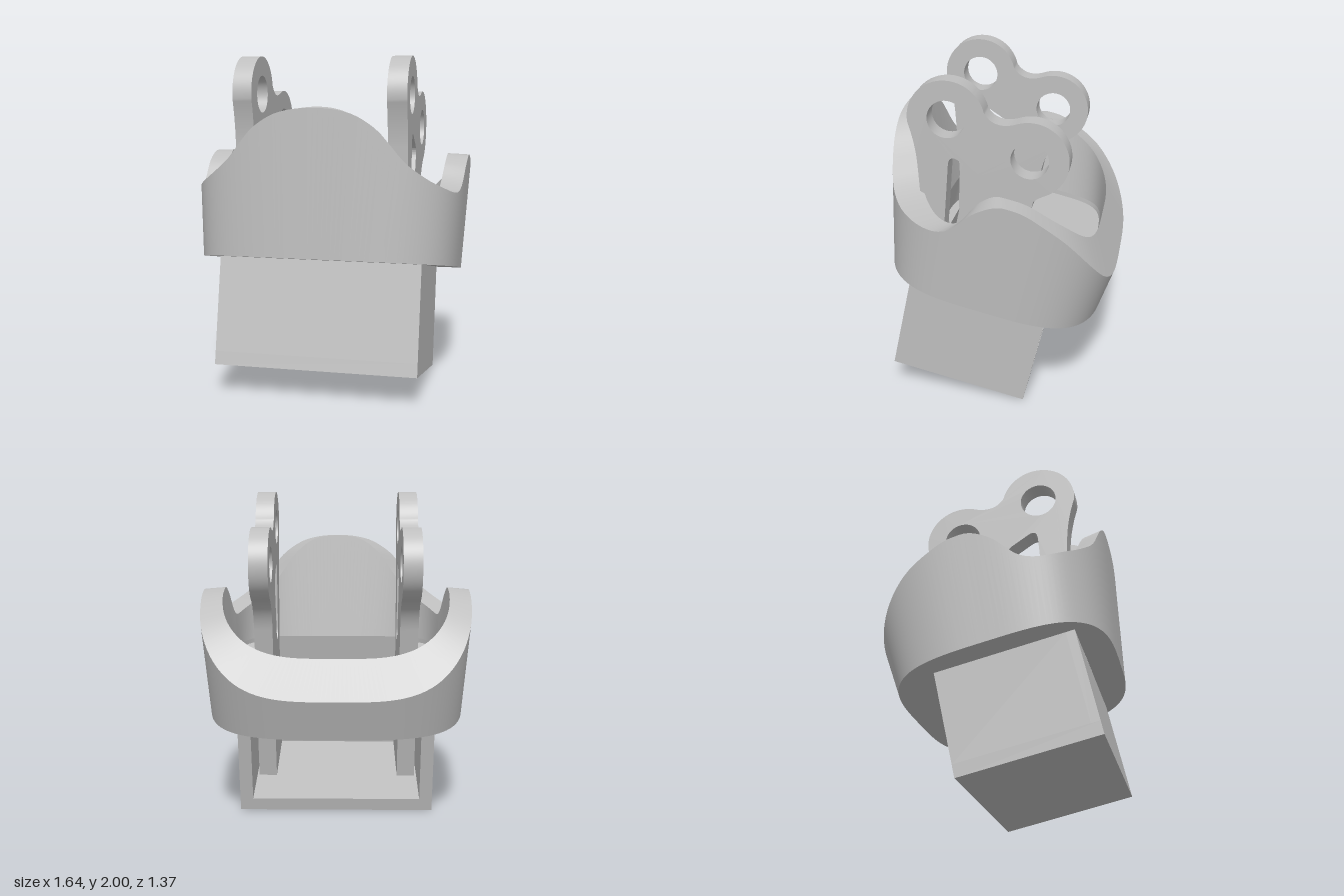
import * as THREE from 'three';
import { toCreasedNormals } from 'three/addons/utils/BufferGeometryUtils.js';

const deg = Math.PI / 180, N = 160;

// Front half of the rim: [angle from the front, outer height, inner height]
const FRONT_RIM = [
  [0, 1.527, 1.555], [15, 1.5, 1.53], [25, 1.42, 1.455], [31, 1.33, 1.375], [36, 1.25, 1.3],
  [42, 1.188, 1.23], [50, 1.137, 1.165], [63, 1.11, 1.12], [71, 1.153, 1.155], [80, 1.307, 1.307],
  [91, 1.387, 1.387],
];
// Back half of the rim: [distance backwards, height]
const BACK_RIM = [
  [-0.2, 1.387], [-0.1, 1.38], [0.01, 1.343], [0.182, 1.259], [0.346, 1.12], [0.492, 0.943], [0.56, 0.85],
];

// Smooth curve through column k of a table
function curve(table, v, k) {
  const last = table.length - 1;
  let i = 0;
  while (i < last - 1 && v > table[i + 1][0]) i++;
  const p = table[i], q = table[i + 1];
  const slope = (j) => (j === 0 || j === last) ? 0
    : (table[j + 1][k] - table[j - 1][k]) / (table[j + 1][0] - table[j - 1][0]);
  const d = q[0] - p[0], t = THREE.MathUtils.clamp((v - p[0]) / d, 0, 1), t2 = t * t, t3 = t2 * t;
  return (2 * t3 - 3 * t2 + 1) * p[k] + (t3 - 2 * t2 + t) * d * slope(i)
    + (3 * t2 - 2 * t3) * q[k] + (t3 - t2) * d * slope(i + 1);
}

// Rounded-rectangle section, given half width, front, back and corner power
function section(phi, w, front, back, n) {
  const mid = (front + back) / 2, b = (front - back) / 2;
  const s = Math.sin(phi), c = Math.cos(phi);
  const r = (Math.abs(s / w) ** n + Math.abs(c / b) ** n) ** (-1 / n);
  return [r * s, mid + r * c];
}
function outerPoint(phi, y) {
  const h = y - 0.685;
  const [x, z] = section(phi, 0.782 + 0.055 * h, 0.855 + 0.18 * h, -0.462 - 0.12 * h, 3.5);
  return [x, y, z];
}
function innerPoint(phi, y) {
  const h = y - 0.9, power = 3.6 + 2.4 * Math.max(0, 1 - h / 0.25);
  const [x, z] = section(phi, 0.655 + 0.08 * h, 0.675 + 0.33 * h, -0.335 + 0.04 * h, power);
  return [x, y, z];
}
function rimPoint(phi, point, k) {
  const a = Math.min(phi, 2 * Math.PI - phi) / deg;
  if (a <= 91) return point(phi, curve(FRONT_RIM, a, k));
  let y = 1.2;
  for (let i = 0; i < 10; i++) y = curve(BACK_RIM, -point(phi, y)[2], 1);
  return point(phi, y);
}

// Closed strips between neighbouring loops; edges between strips stay sharp
function loopStrips(loops) {
  const pos = [], idx = [];
  for (let s = 0; s < loops.length - 1; s++) {
    const base = pos.length / 3;
    for (const loop of [loops[s], loops[s + 1]]) {
      for (let i = 0; i < N; i++) pos.push(...loop(i / N * 2 * Math.PI));
    }
    for (let i = 0; i < N; i++) {
      const j = (i + 1) % N, a = base + i, b = base + j;
      idx.push(a, b, b + N, a, b + N, a + N);
    }
  }
  const g = new THREE.BufferGeometry();
  g.setAttribute('position', new THREE.Float32BufferAttribute(pos, 3));
  g.setIndex(idx);
  g.computeVertexNormals();
  return g;
}

// Outline of one upright plate: stem, two rings, a slot; drawn with x = depth
function plateGeometry(thickness) {
  const s = new THREE.Shape();
  const front = [0.669, 1.669], back = [0.156, 1.563], R = 0.225;
  const on = (c, a) => [c[0] + R * Math.cos(a * deg), c[1] + R * Math.sin(a * deg)];
  s.moveTo(0.135, 0.1);
  s.lineTo(0.135, 1.14);
  s.quadraticCurveTo(0.135, 1.3, ...on(back, 235));
  s.absarc(...back, R, 235 * deg, 60 * deg, true);
  s.quadraticCurveTo(0.385, 1.685, ...on(front, 155));
  s.absarc(...front, R, 155 * deg, -20 * deg, true);
  s.quadraticCurveTo(0.81, 1.47, 0.775, 1.34);
  s.quadraticCurveTo(0.73, 1.18, 0.67, 0.95);
  s.lineTo(0.62, 0.65);
  s.lineTo(0.62, 0.1);
  s.closePath();

  for (const c of [front, back]) {
    s.holes.push(new THREE.Path().absarc(...c, 0.11, 0, 2 * Math.PI, false));
  }
  const slot = new THREE.Path();
  slot.moveTo(0.605, 1.4);
  slot.quadraticCurveTo(0.612, 1.465, 0.56, 1.45);
  slot.lineTo(0.44, 1.405);
  slot.quadraticCurveTo(0.395, 1.385, 0.405, 1.335);
  slot.lineTo(0.44, 1.02);
  slot.quadraticCurveTo(0.45, 0.95, 0.495, 0.95);
  slot.quadraticCurveTo(0.545, 0.95, 0.555, 1.02);
  slot.closePath();
  s.holes.push(slot);

  const g = new THREE.ExtrudeGeometry(s, { depth: thickness, bevelEnabled: false, curveSegments: 32 });
  g.translate(0, 0, -thickness / 2).rotateY(-Math.PI / 2);
  return toCreasedNormals(g, 0.6);
}

// U-shaped floor slab: full at the back, a side strip beyond each plate
function floorGeometry(y0, y1, openX, stepZ) {
  const pts = [];
  for (let i = 0; i < N; i++) {
    const [x, , z] = innerPoint(i / N * 2 * Math.PI, 0.9);
    if (z < stepZ || Math.abs(x) > openX) pts.push(new THREE.Vector2(x, -z));
  }
  pts.push(new THREE.Vector2(-openX, pts[pts.length - 1].y));
  pts.push(new THREE.Vector2(-openX, -stepZ), new THREE.Vector2(openX, -stepZ));
  pts.push(new THREE.Vector2(openX, pts[0].y));
  const g = new THREE.ExtrudeGeometry(new THREE.Shape(pts), { depth: y1 - y0, bevelEnabled: false });
  g.rotateX(-Math.PI / 2).translate(0, y0, 0);
  return toCreasedNormals(g, 0.6);
}

export function createModel() {
  const model = new THREE.Group();
  model.name = 'model';
  const body = new THREE.Group();
  body.name = 'tiltedBody';
  body.rotation.set(-12.5 * deg, -0.013, 0, 'YXZ');
  model.add(body);

  const grey = new THREE.MeshStandardMaterial({ color: 0xbebebe });
  grey.name = 'plain grey';
  const add = (name, geometry) => {
    const m = new THREE.Mesh(geometry, grey);
    m.name = name;
    body.add(m);
    return m;
  };

  // Flared collar with a wavy rim
  const innerBase = (p) => {
    const [x, , z] = innerPoint(p, 0.9);
    return [x, 0.685, z];
  };
  add('collar', loopStrips([
    innerBase,
    (p) => outerPoint(p, 0.685),
    (p) => rimPoint(p, outerPoint, 1),
    (p) => rimPoint(p, innerPoint, 2),
    (p) => innerPoint(p, 0.9),
    innerBase,
  ]));
  add('floor', floorGeometry(0.685, 0.87, 0.51, 0.13));

  // Hollow box below, open at the back
  const wall = (name, x0, x1, y0, y1, z0, z1) => add(name,
    new THREE.BoxGeometry(x1 - x0, y1 - y0, z1 - z0)
      .translate((x0 + x1) / 2, (y0 + y1) / 2, (z0 + z1) / 2));
  const W = 0.606, T = 0.08, Y0 = 0.038, Y1 = 0.686, B = -0.166, F = 0.674, FI = 0.62;
  wall('boxBottom', -W, W, Y0, Y0 + T, B, F);
  wall('boxFront', -W, W, Y0 + T, Y1, FI, F);
  wall('boxTop', -W + T, W - T, Y1 - T, Y1, B, 0.13);
  for (const s of [-1, 1]) {
    const [x0, x1] = [s * W, s * (W - T)].sort((a, b) => a - b);
    wall(s > 0 ? 'boxLeftSide' : 'boxRightSide', x0, x1, Y0 + T, Y1, B, FI);
  }

  // Two upright ring plates standing in the opening
  const plate = plateGeometry(0.115);
  for (const s of [-1, 1]) {
    add(s > 0 ? 'leftRingPlate' : 'rightRingPlate', plate).position.x = s * 0.455;
  }
  return model;
}
